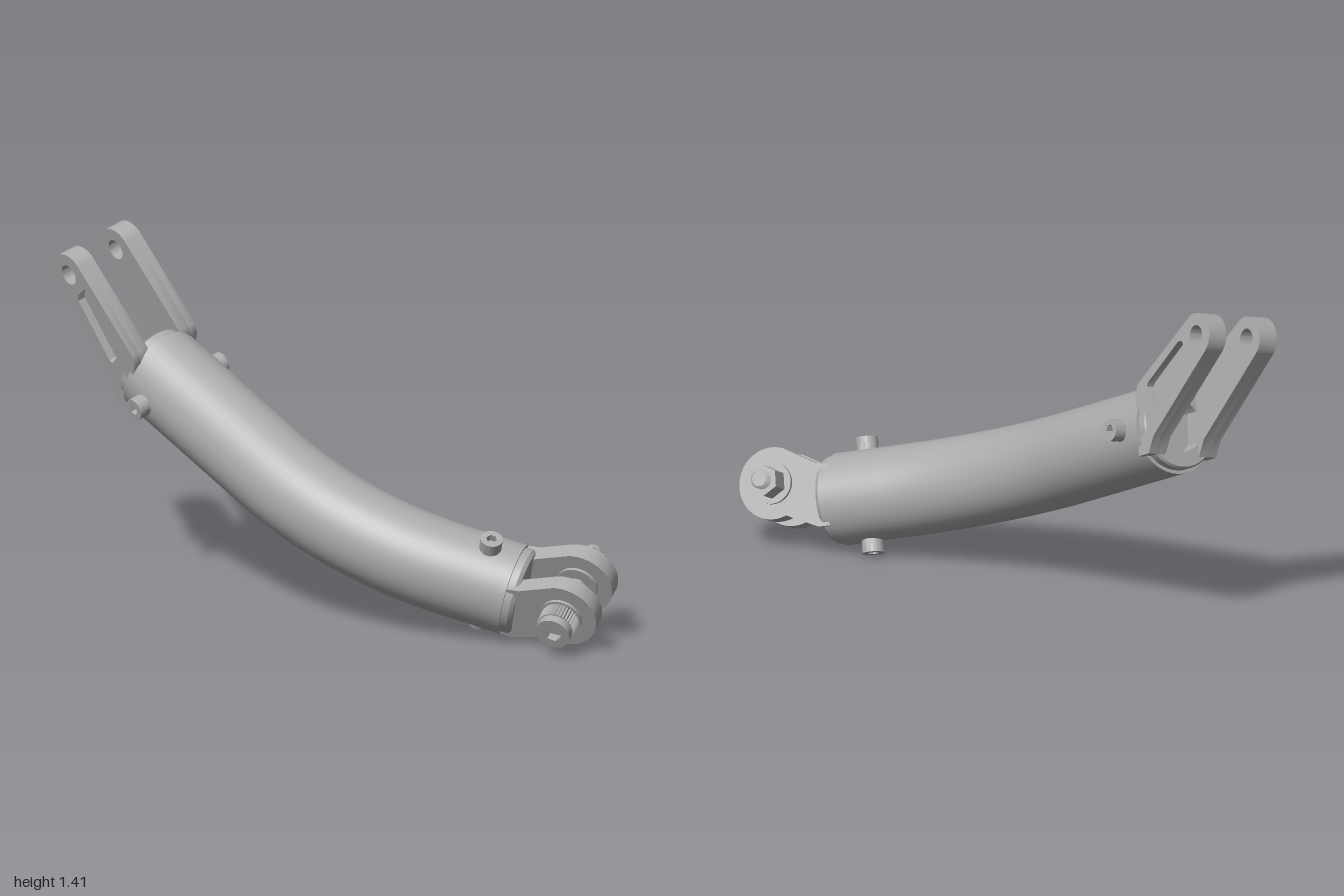
import * as THREE from 'three';
import { toCreasedNormals } from 'three/addons/utils/BufferGeometryUtils.js';

const steel = new THREE.MeshStandardMaterial({ color: 0xababab });
steel.name = 'steel';

// The tube bends in one tilted plane: X runs sideways, V climbs to the back, N is the plane's normal
const X = new THREE.Vector3(1, 0, 0);
const V = new THREE.Vector3(0, 0.48, -0.877);
const N = new THREE.Vector3(0, 0.877, 0.48);
const onPlane = (x, v) => new THREE.Vector3(x, 0.24, 0.505).addScaledVector(V, v);
const inPlane = (x, v) => new THREE.Vector3().addScaledVector(X, x).addScaledVector(V, v);

const TUBE_R = 0.186;

function add(parent, name, geo) {
  const mesh = new THREE.Mesh(toCreasedNormals(geo, 0.6), steel);
  mesh.name = name;
  parent.add(mesh);
  return mesh;
}

function circlePath(r, x = 0, y = 0) {
  return new THREE.Path().absarc(x, y, r, 0, Math.PI * 2, true);
}

function hexPath(r) {
  const pts = [];
  for (let i = 0; i < 6; i++) pts.push(new THREE.Vector2(r * Math.cos(i * Math.PI / 3), -r * Math.sin(i * Math.PI / 3)));
  return new THREE.Path(pts);
}

// Extruded plate between two heights along local z
function plate(shape, z0, z1) {
  return new THREE.ExtrudeGeometry(shape, { depth: z1 - z0, bevelEnabled: false, curveSegments: 24 }).translate(0, 0, z0);
}

function rod(r, z0, z1, sides = 32) {
  return new THREE.CylinderGeometry(r, r, z1 - z0, sides).rotateX(Math.PI / 2).translate(0, 0, (z0 + z1) / 2);
}

// Turned part around local x
function turned(points) {
  return new THREE.LatheGeometry(points.map(p => new THREE.Vector2(...p)), 48).rotateZ(-Math.PI / 2);
}

// Local frame at a tube end: x leaves the tube, y is N, z lies in the bend plane
function endFrame(name, origin, dir) {
  const g = new THREE.Group();
  g.name = name;
  g.applyMatrix4(new THREE.Matrix4().makeBasis(dir, N, dir.clone().cross(N)).setPosition(origin));
  return g;
}

// Small cap screw with hex socket, pointing along local z
function capScrew(name) {
  const g = new THREE.Group();
  g.name = name;
  const head = new THREE.Shape().absarc(0, 0, 0.045, 0, Math.PI * 2);
  head.holes.push(hexPath(0.022));
  add(g, 'screwHead', plate(head, 0.205, 0.235));
  add(g, 'screwBody', rod(0.045, 0.15, 0.206));
  return g;
}

function endRing(parent) {
  add(parent, 'tubeRim', new THREE.RingGeometry(0.15, TUBE_R, 48).rotateY(Math.PI / 2));
}

function upperClevis(frame) {
  endRing(frame);
  add(frame, 'upperClevisBase', turned([[0, -0.06], [0.172, -0.06], [0.172, 0.035], [0.165, 0.045],
    [0.105, 0.045], [0.105, -0.03], [0, -0.03]]));

  const outline = () => {
    const s = new THREE.Shape();
    s.moveTo(-0.02, -0.12);
    s.lineTo(0.045, -0.12);
    s.lineTo(0.085, -0.055);
    s.lineTo(0.46, 0.222);
    s.absarc(0.408, 0.296, 0.091, -0.96, 2.09);
    s.lineTo(0, 0.17);
    s.lineTo(-0.02, 0.13);
    s.closePath();
    s.holes.push(circlePath(0.042, 0.408, 0.296));
    return s;
  };
  const pocketed = outline();
  pocketed.holes.push(new THREE.Path([[0.285, 0.292], [0.31, 0.292], [0.342, 0.235], [0.335, 0.21],
    [0.12, 0.05], [0.1, 0.05], [0.06, 0.15], [0.07, 0.165]].map(p => new THREE.Vector2(...p))));

  // Each arm is a full inner web and an outer layer with a pocket
  for (const side of [-1, 1]) {
    const inner = [0.083 * side, 0.133 * side].sort((a, b) => a - b);
    const outer = [0.133 * side, 0.167 * side].sort((a, b) => a - b);
    add(frame, 'upperArmWeb', plate(outline(), ...inner));
    add(frame, 'upperArmPocketLayer', plate(pocketed, ...outer));
  }
  for (const side of [0, 1]) {
    const screw = capScrew('upperScrew');
    screw.position.x = -0.115;
    screw.rotation.y = side * Math.PI;
    frame.add(screw);
  }
}

function lowerClevis(frame) {
  endRing(frame);
  add(frame, 'lowerClevisBase', turned([[0, -0.05], [0.176, -0.05], [0.176, 0.03], [0.165, 0.045], [0, 0.045]]));

  const cx = 0.24, cy = 0.075;
  const arm = new THREE.Shape();
  arm.moveTo(0, -0.125);
  arm.lineTo(0.05, -0.125);
  arm.lineTo(0.19, -0.062);
  arm.absarc(cx, cy, 0.146, -1.9, 1.95);
  arm.lineTo(0.05, 0.135);
  arm.lineTo(0, 0.125);
  arm.closePath();
  arm.holes.push(circlePath(0.04, cx, cy));
  const boss = new THREE.Shape().absarc(cx, cy, 0.085, 0, Math.PI * 2);
  boss.holes.push(circlePath(0.04, cx, cy));
  for (const c of [-0.1, 0.1]) {
    add(frame, 'lowerArm', plate(arm, c - 0.037, c + 0.037));
    add(frame, 'armBoss', plate(boss, c - 0.05, c + 0.05));
  }

  // Pivot bolt: knurled socket head, shank, hex nut and threaded tip
  const bolt = new THREE.Group();
  bolt.name = 'pivotBolt';
  bolt.position.set(cx, cy, 0);
  frame.add(bolt);
  const knurl = [];
  for (let i = 0; i < 72; i++) {
    const a = i / 72 * Math.PI * 2, r = i % 2 ? 0.072 : 0.078;
    knurl.push(new THREE.Vector2(r * Math.cos(a), r * Math.sin(a)));
  }
  add(bolt, 'boltHeadBody', plate(new THREE.Shape(knurl), 0.15, 0.215));
  const cap = new THREE.Shape().absarc(0, 0, 0.07, 0, Math.PI * 2);
  cap.holes.push(hexPath(0.036));
  add(bolt, 'boltHeadCap', plate(cap, 0.215, 0.25));
  add(bolt, 'boltShank', rod(0.04, -0.15, 0.15));
  add(bolt, 'nut', rod(0.064, -0.235, -0.15, 6));
  const thread = [[0, -0.272], [0.03, -0.272]];
  for (let i = 0; i < 4; i++) thread.push([0.038, -0.266 + i * 0.009], [0.033, -0.2615 + i * 0.009]);
  add(bolt, 'threadedTip', turned(thread).rotateY(-Math.PI / 2));

  for (const side of [-1, 1]) {
    const screw = capScrew('lowerScrew');
    screw.position.x = -0.122;
    screw.rotation.x = side * Math.PI / 2;
    frame.add(screw);
  }
}

export function createModel() {
  const model = new THREE.Group();
  model.name = 'linkArm';

  // Bent tube: straight, 30 degree bend, straight
  const low = onPlane(0.6, -0.07), high = onPlane(-0.592, 1.285), corner = onPlane(-0.016, 0.286);
  const lowDir = inPlane(0.866, -0.5).normalize(), highDir = inPlane(-0.5, 0.866).normalize();
  const bendA = corner.clone().addScaledVector(lowDir, 0.47);
  const bendB = corner.clone().addScaledVector(highDir, 0.47);
  const path = new THREE.CurvePath();
  path.add(new THREE.LineCurve3(low, bendA));
  path.add(new THREE.QuadraticBezierCurve3(bendA, corner, bendB));
  path.add(new THREE.LineCurve3(bendB, high));
  add(model, 'bentTube', new THREE.TubeGeometry(path, 60, TUBE_R, 48));

  const top = endFrame('upperClevis', high, highDir);
  upperClevis(top);
  const bottom = endFrame('lowerClevis', low, lowDir);
  lowerClevis(bottom);
  model.add(top, bottom);
  return model;
}
